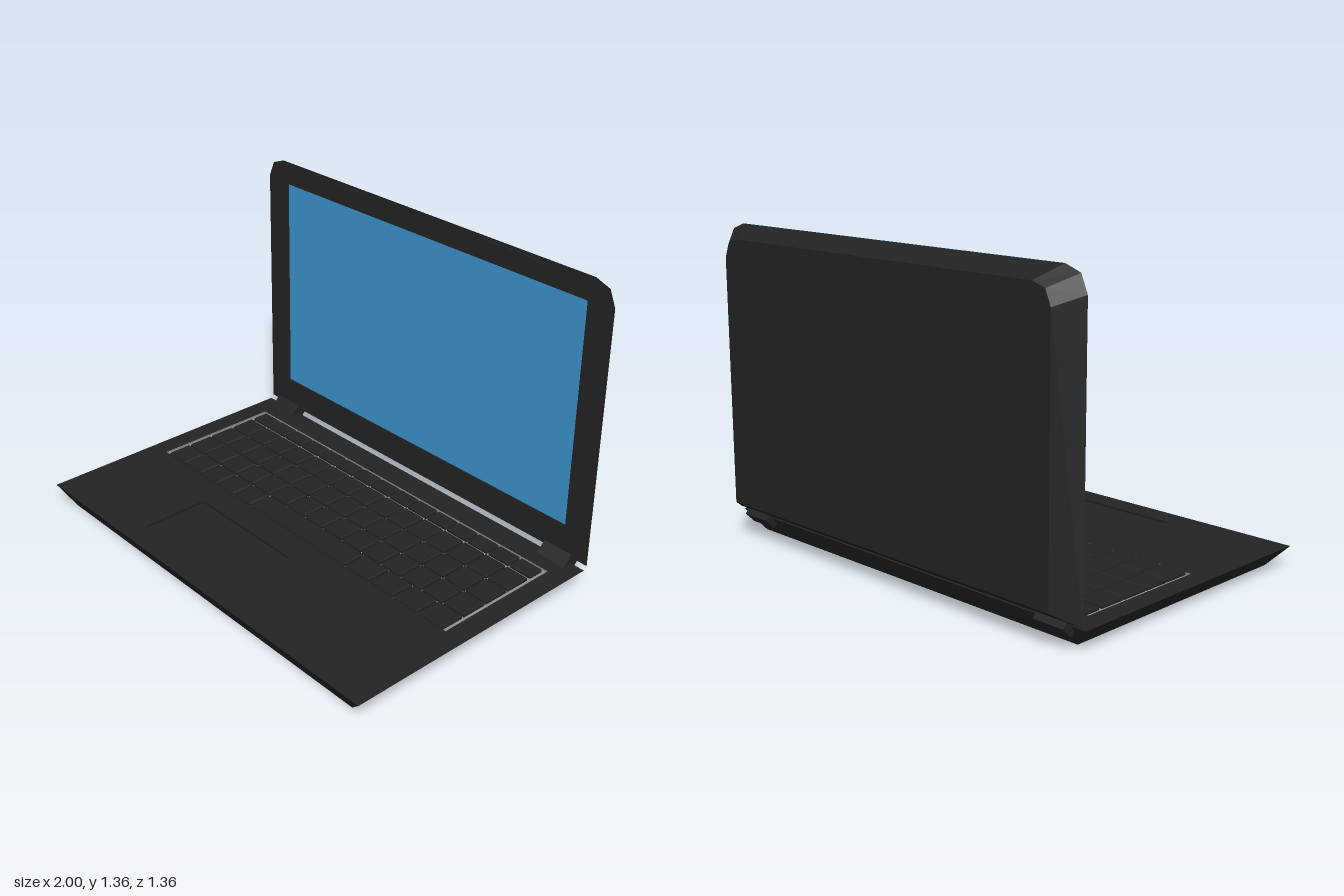
import * as THREE from 'three';

const shell = new THREE.MeshStandardMaterial({ color: 0x232323 });
shell.name = 'charcoal shell';
const screenBlue = new THREE.MeshStandardMaterial({ color: 0x3c94d0 });
screenBlue.name = 'screen blue';
const plateGrey = new THREE.MeshStandardMaterial({ color: 0x8e8e8e });
plateGrey.name = 'keyboard grey';

// Flat-shaded skin over successive rings of [x, y, z]; caps are optional
function loft(rings, capStart, capEnd) {
  const out = [];
  const tri = (a, b, c) => out.push(...a, ...b, ...c);
  const n = rings[0].length;
  for (let r = 0; r < rings.length - 1; r++) {
    const A = rings[r], B = rings[r + 1];
    for (let i = 0; i < n; i++) {
      const j = (i + 1) % n;
      tri(A[i], A[j], B[j]);
      tri(A[i], B[j], B[i]);
    }
  }
  const first = rings[0], last = rings[rings.length - 1];
  for (let i = 1; i < n - 1; i++) {
    if (capStart) tri(first[0], first[i + 1], first[i]);
    if (capEnd) tri(last[0], last[i], last[i + 1]);
  }
  const g = new THREE.BufferGeometry();
  g.setAttribute('position', new THREE.Float32BufferAttribute(out, 3));
  g.computeVertexNormals();
  return g;
}

// Horizontal rectangle at height y
const rect = ([x0, x1, z0, z1], y, inset = 0) => [
  [x0 + inset, y, z1 - inset], [x1 - inset, y, z1 - inset],
  [x1 - inset, y, z0 + inset], [x0 + inset, y, z0 + inset],
];

function add(parent, name, geometry, material) {
  const mesh = new THREE.Mesh(geometry, material);
  mesh.name = name;
  parent.add(mesh);
  return mesh;
}

const TOP = 0.09;
const DECK = [-1, 1, -0.58, 0.68];
const KEYBOARD = [-0.91, 0.905, -0.465, 0.135];
const TOUCHPAD = [-0.455, 0.135, 0.265, 0.58];

function buildBase() {
  const base = new THREE.Group();
  base.name = 'base';
  add(base, 'baseBody', loft([rect([-0.915, 0.915, -0.525, 0.63], 0), rect(DECK, TOP)], true, false), shell);

  // Deck with openings for the keyboard and touchpad
  const outline = (r) => rect(r, 0).map(([x, , z]) => new THREE.Vector2(x, -z));
  const deck = new THREE.Shape(outline(DECK));
  for (const hole of [KEYBOARD, TOUCHPAD]) deck.holes.push(new THREE.Path(outline(hole).reverse()));
  add(base, 'deck', new THREE.ShapeGeometry(deck).rotateX(-Math.PI / 2).translate(0, TOP, 0), shell);

  // Recessed trays
  add(base, 'keyboardTray', loft([rect(KEYBOARD, TOP), rect(KEYBOARD, 0.08)], false, true), plateGrey);
  add(base, 'touchpad', loft([rect(TOUCHPAD, TOP), rect(TOUCHPAD, 0.08)], false, true), shell);
  return base;
}

function buildKeys() {
  const keys = new THREE.Group();
  keys.name = 'keys';
  const gap = 0.005;
  const rows = [[-0.455, -0.378], [-0.365, -0.245], [-0.24, -0.115], [-0.11, 0.012], [0.017, 0.133]];
  const even = Array.from({ length: 16 }, (_, i) => -0.892 + i * 0.1187);
  const bottom = [-0.892, -0.765, -0.645, -0.525, -0.405, -0.287, 0.325, 0.472, 0.611, 0.75, 0.888];
  rows.forEach(([z0, z1], r) => {
    const edges = r === 4 ? bottom : even;
    for (let i = 0; i < edges.length - 1; i++) {
      const area = [edges[i] + gap, edges[i + 1] - gap, z0 + 0.002, z1 - 0.002];
      const name = r === 4 && i === 5 ? 'spaceBar' : 'key';
      add(keys, name, loft([rect(area, 0.08), rect(area, TOP), rect(area, 0.097, 0.005)], false, true), shell);
    }
  });
  return keys;
}

// Lid outline: square lower corners, faceted upper corners
function lidRing(w, y0, upper, z) {
  const right = upper.map(([x, y]) => [x, y, z]);
  const left = upper.map(([x, y]) => [-x, y, z]).reverse();
  return [[-w, y0, z], [w, y0, z], ...right, ...left];
}

function buildLid() {
  const lid = new THREE.Group();
  lid.name = 'lid';
  const front = -0.595, recess = -0.601;
  const back = lidRing(0.915, 0.16, [[0.915, 1.22], [0.89, 1.28], [0.83, 1.3]], -0.68);
  const face = lidRing(1, 0.105, [[1, 1.26], [0.97, 1.33], [0.9, 1.355]], front);
  const opening = (z) => lidRing(0.872, 0.24, [[0.872, 1.25], [0.872, 1.25], [0.872, 1.25]], z);
  add(lid, 'lidShell', loft([back, face, opening(front), opening(recess)], true, false), shell);
  add(lid, 'screen', new THREE.PlaneGeometry(1.744, 1.01).translate(0, 0.745, recess), screenBlue);

  // Small bumpers on the upper bezel
  for (const x of [-0.505, 0.49]) {
    add(lid, 'bezelBumper', new THREE.BoxGeometry(0.305, 0.02, 0.008).translate(x, 1.33, -0.592), shell);
  }
  return lid;
}

export function createModel() {
  const model = new THREE.Group();
  model.name = 'laptop';
  model.add(buildBase(), buildKeys(), buildLid());

  // Diamond-section hinges
  for (const side of [-1, 1]) {
    const hinge = add(model, 'hinge', new THREE.BoxGeometry(0.145, 0.063, 0.063), shell);
    hinge.position.set(side * 0.86, 0.09, -0.578);
    hinge.rotation.x = Math.PI / 4;
  }
  return model;
}
